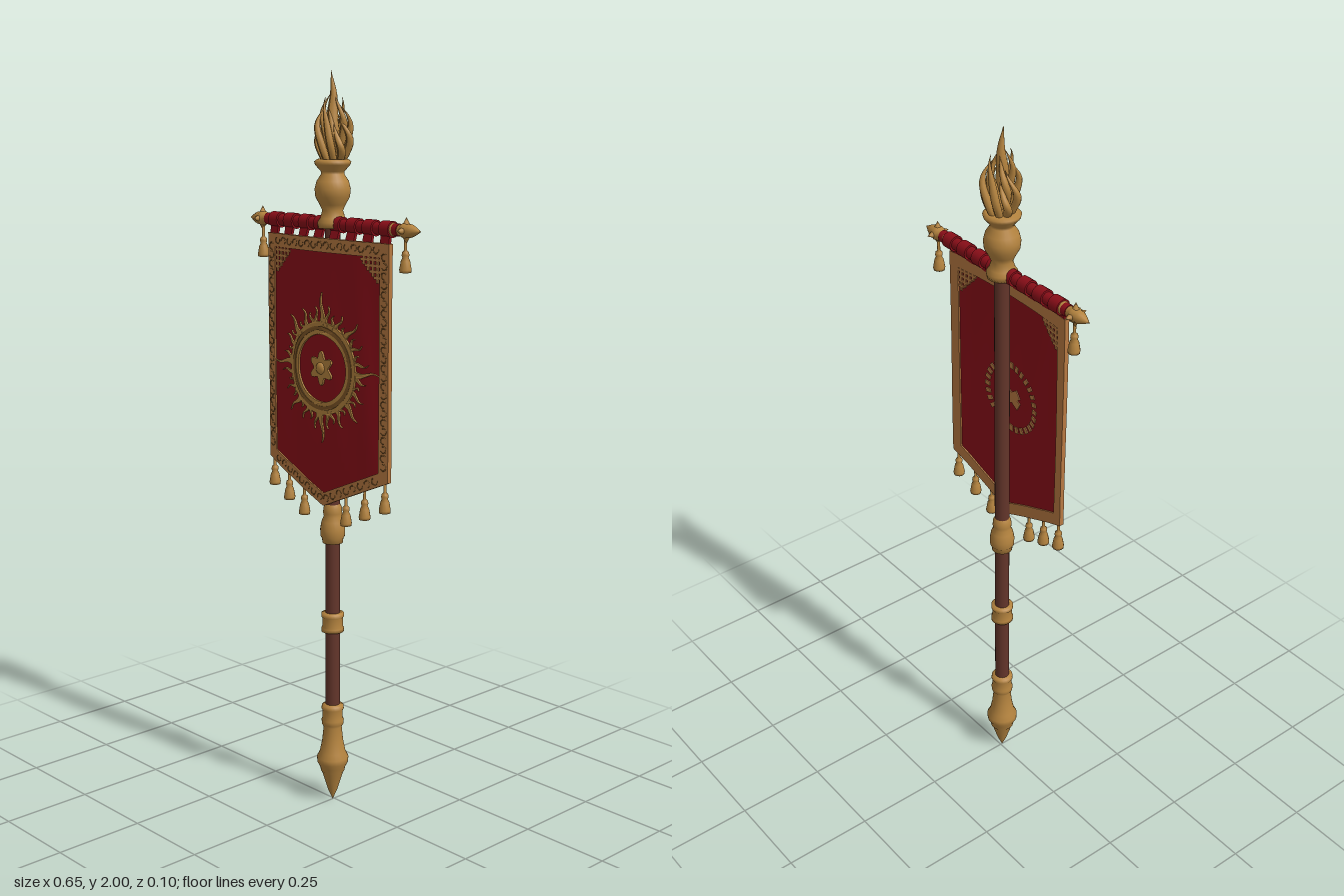
import * as THREE from 'three';
import { mergeGeometries } from 'three/addons/utils/BufferGeometryUtils.js';

const PI = Math.PI;
const POLE_Z = 0.005, BAR_Z = 0.01, BAR_Y = 1.61, TOP = 1.575, HALF = 0.23, EMBLEM_Y = 1.235;

function material(name, color, opts = {}) {
  const m = new THREE.MeshStandardMaterial({ color, ...opts });
  m.name = name;
  return m;
}

// Cloth rules: pointed lower edge, and forward bulge with soft folds
const bottomY = x => 0.86 + 0.1 * Math.abs(x) / HALF;
const drapeZ = (x, y) => {
  const sag = Math.sin(PI * Math.min(1, Math.max(0, (TOP - y) / 0.72)));
  return 0.021 + (0.013 + 0.007 * sag) * Math.cos(PI * x / (2 * HALF))
    + 0.0015 * sag * Math.sin(x * 55 + y * 5);
};

function warp(geo, rule) {
  const p = geo.attributes.position, v = new THREE.Vector3();
  for (let i = 0; i < p.count; i++) {
    v.fromBufferAttribute(p, i);
    rule(v);
    p.setXYZ(i, v.x, v.y, v.z);
  }
  geo.computeVertexNormals();
  return geo;
}
const drape = geo => warp(geo, v => { v.z += drapeZ(v.x, v.y); });

function extrude(points, depth, holes = []) {
  const s = new THREE.Shape(points);
  s.holes = holes.map(h => new THREE.Path(h));
  return new THREE.ExtrudeGeometry(s, { depth, bevelEnabled: false });
}
const circle = (r, n = 48) => Array.from({ length: n }, (_, i) =>
  new THREE.Vector2(r * Math.cos(i / n * 2 * PI), r * Math.sin(i / n * 2 * PI)));
const lathe = (pts, seg = 24) =>
  new THREE.LatheGeometry(pts.map(([r, y]) => new THREE.Vector2(r, y)), seg);

// Flame tongue: a tapered cone swept along a swirling upward path
function tongue(angle, radius, y0, h, w, swirl) {
  const g = new THREE.ConeGeometry(1, 1, 10, 14, true);
  return warp(g, v => {
    const t = v.y + 0.5, a = angle + swirl * t;
    const width = w * (0.55 + 1.5 * t) * Math.pow(1 - t, 0.15);
    const r = radius * (0.6 + 1.3 * Math.sin(PI * Math.min(1, t * 0.9)) * 0.55) * (1 - 0.25 * t);
    const wave = 0.008 * Math.sin(t * 7 + angle * 2) * t;
    v.x = Math.cos(a) * (r + wave) + v.x * width;
    v.z = Math.sin(a) * (r + wave) + v.z * width;
    v.y = y0 + h * t;
  });
}

function tassel() {
  return lathe([[0, 0], [0.015, 0.001], [0.016, 0.008], [0.012, 0.03], [0.008, 0.038], [0.01, 0.044],
    [0.009, 0.051], [0.004, 0.056], [0.004, 0.085], [0, 0.085]], 12);
}

export function createModel() {
  const gold = material('gold', 0xb5843f);
  const trim = material('copper gold trim', 0xb87a42, { side: THREE.DoubleSide });
  const bronze = material('dark bronze', 0x7d5526);
  const red = material('crimson cloth', 0x8a0e18, { side: THREE.DoubleSide });
  const wood = material('brown wood', 0x63352a);
  const root = new THREE.Group();
  root.name = 'banner';
  const add = (name, geo, mat, x = 0, y = 0, z = 0) => {
    const m = new THREE.Mesh(geo, mat);
    m.name = name;
    m.position.set(x, y, z);
    root.add(m);
    return m;
  };

  // Pole, foot spike and collars
  add('pole', new THREE.CylinderGeometry(0.02, 0.02, 1.4, 20), wood, 0, 0.92, POLE_Z);
  add('footSpike', lathe([[0, 0], [0.013, 0.03], [0.03, 0.085], [0.033, 0.088], [0.035, 0.1], [0.043, 0.115],
    [0.044, 0.13], [0.036, 0.145], [0.029, 0.18], [0.025, 0.22], [0.03, 0.228], [0.031, 0.24],
    [0.028, 0.245], [0.028, 0.268], [0.031, 0.273], [0.03, 0.283], [0.02, 0.287]]), gold, 0, 0, POLE_Z);
  const collar = [[0.02, -0.028], [0.031, -0.026], [0.031, -0.016], [0.028, -0.013], [0.028, 0.013],
    [0.031, 0.016], [0.031, 0.026], [0.02, 0.028]];
  add('middleCollar', lathe(collar), gold, 0, 0.525, POLE_Z);
  add('upperCollar', lathe([[0.02, 0.75], [0.028, 0.752], [0.029, 0.765], [0.033, 0.77], [0.034, 0.79],
    [0.03, 0.812], [0.024, 0.825], [0.026, 0.835], [0.025, 0.85], [0.02, 0.86]]), gold, 0, 0, POLE_Z);

  // Finial: vase, cup and flame
  add('finialVase', lathe([[0, 1.6], [0.038, 1.6], [0.04, 1.615], [0.033, 1.625], [0.027, 1.645], [0.034, 1.66],
    [0.045, 1.68], [0.047, 1.7], [0.042, 1.72], [0.03, 1.738], [0.031, 1.745], [0.046, 1.762],
    [0.048, 1.77], [0.04, 1.776], [0, 1.776]], 28), gold, 0, 0, POLE_Z);
  const flames = [tongue(0, 0.006, 1.77, 0.23, 0.026, 3)];
  for (let i = 0; i < 8; i++)
    flames.push(tongue(i * PI / 4, 0.036, 1.768, 0.1 + 0.022 * (i * 3 % 4), 0.016, 0.8));
  for (let i = 0; i < 5; i++)
    flames.push(tongue(i * 2 * PI / 5 + 0.3, 0.022, 1.79, 0.12 + 0.016 * (i * 2 % 3), 0.016, 1.2));
  add('flame', mergeGeometries(flames), gold, 0, 0, 0.001);

  // Crossbar with pointed ends
  add('crossbar', new THREE.CylinderGeometry(0.016, 0.016, 0.5, 16).rotateZ(PI / 2), red, 0, BAR_Y, BAR_Z);
  for (const s of [-1, 1]) {
    add('crossbarTip', lathe([[0.017, 0.212], [0.017, 0.232], [0.014, 0.236], [0.014, 0.255], [0.018, 0.262],
      [0.02, 0.272], [0.016, 0.282], [0.017, 0.288], [0.012, 0.3], [0, 0.323]], 16).rotateZ(-s * PI / 2),
      gold, 0, BAR_Y, BAR_Z);
    const studs = [];
    for (let k = 0; k < 4; k++)
      studs.push(new THREE.ConeGeometry(0.011, 0.022, 8).translate(0, 0.023, 0).rotateX(k * PI / 2));
    add('crossbarStuds', mergeGeometries(studs), gold, s * 0.272, BAR_Y, BAR_Z);
    add('crossbarTassel', tassel(), gold, s * 0.27, 1.505, BAR_Z);
  }

  // Hanging loops around the crossbar
  const loops = [];
  for (let i = 0; i < 8; i++) {
    const x = (i - 3.5) * 0.06;
    loops.push(new THREE.CylinderGeometry(0.021, 0.021, 0.034, 16).rotateZ(PI / 2).translate(x, BAR_Y, BAR_Z));
    loops.push(warp(new THREE.BoxGeometry(0.03, 0.05, 0.008, 1, 4, 1).translate(x, 1.585, 0), v => {
      v.z += THREE.MathUtils.lerp(drapeZ(v.x, TOP), 0.016, Math.min(1, (v.y - 1.56) / 0.05));
    }));
  }
  add('hangingLoops', mergeGeometries(loops), red);

  // Cloth panel
  add('cloth', drape(warp(new THREE.BoxGeometry(0.448, 1, 0.005, 40, 30, 1), v => {
    const b = bottomY(v.x) + 0.005;
    v.y = b + (v.y + 0.5) * (TOP - 0.003 - b);
  })), red);

  // Raised border
  const border = [drape(new THREE.BoxGeometry(0.46, 0.036, 0.013, 32, 2, 1).translate(0, TOP - 0.018, 0))];
  border.push(drape(warp(new THREE.BoxGeometry(0.46, 0.036, 0.013, 32, 2, 1), v => {
    v.y += bottomY(v.x) + 0.018;
  })));
  for (const s of [-1, 1])
    border.push(drape(warp(new THREE.BoxGeometry(0.031, 1, 0.013, 2, 24, 1).translate(s * 0.2145, 0, 0), v => {
      const b = bottomY(v.x);
      v.y = b + (v.y + 0.5) * (TOP - b);
    })));
  add('border', mergeGeometries(border), trim);

  // Scroll pattern along the border front
  const scrolls = [];
  const scroll = (x, y, turn) => scrolls.push(drape(new THREE.TorusGeometry(0.009, 0.0016, 4, 10, 4.6)
    .rotateZ(turn).translate(x, y, 0.0068)));
  for (const s of [-1, 1]) {
    for (let i = 0; i < 24; i++) scroll(s * 0.2145, 1.0 + i * 0.0235, i % 2 ? 0.5 : 3.6);
    for (let i = 0; i < 8; i++) {
      const x = s * (0.012 + i * 0.025);
      scroll(x, TOP - 0.018, i % 2 ? 2 : 5.2);
      scroll(x, bottomY(x) + 0.018, i % 2 ? 2 : 5.2);
    }
  }
  add('borderScrolls', mergeGeometries(scrolls), bronze);

  // Stepped fretwork in the upper corners, on both sides
  const corners = [];
  for (const s of [-1, 1]) {
    for (let i = 0; i < 4; i++) {
      const d = 0.016 + i * 0.015, w = 0.066 - i * 0.015;
      corners.push(new THREE.BoxGeometry(w, 0.007, 0.011, 3, 1, 1).translate(s * (0.2 - w / 2), 1.548 - d, 0));
      corners.push(new THREE.BoxGeometry(0.007, w, 0.011, 1, 3, 1).translate(s * (0.206 - d), 1.54 - w / 2, 0));
    }
  }
  add('cornerFretwork', drape(mergeGeometries(corners)), trim);

  // Sun emblem: ring, wavy rays and central blossom
  const at = (g, z) => drape(g.translate(0, EMBLEM_Y, z));
  add('sunRing', at(extrude(circle(0.124), 0.007, [circle(0.09)]), 0.001), gold);
  add('sunRingInset', at(extrude(circle(0.112), 0.002, [circle(0.101)]), 0.0075), bronze);
  const rays = [];
  for (let i = 0; i < 40; i++) {
    const a = i / 40 * 2 * PI;
    const len = i % 10 === 0 ? 0.2 : i % 5 === 0 ? 0.182 : [0.15, 0.168, 0.142, 0.162][i % 4];
    const w = i % 5 === 0 ? 0.009 : 0.0065;
    const left = [], right = [];
    for (let k = 0; k <= 6; k++) {
      const t = k / 6, r = 0.115 + (len - 0.115) * t;
      const bend = 0.005 * Math.sin(t * 2 * PI) * (i % 2 ? 1 : -1), half = w * (1 - t);
      left.push(new THREE.Vector2(r, bend - half));
      if (k < 6) right.unshift(new THREE.Vector2(r, bend + half));
    }
    rays.push(extrude([...left, ...right], 0.006).rotateZ(a));
  }
  add('sunRays', at(mergeGeometries(rays), 0.001), gold);
  const petals = Array.from({ length: 48 }, (_, i) => {
    const a = i / 48 * 2 * PI, r = 0.037 + 0.009 * Math.cos(6 * a + PI);
    return new THREE.Vector2(r * Math.cos(a), r * Math.sin(a));
  });
  add('blossom', at(extrude(petals, 0.007), 0.001), gold);
  add('blossomCentre', new THREE.SphereGeometry(0.016, 14, 8).scale(1, 1, 0.5), gold,
    0, EMBLEM_Y, drapeZ(0, EMBLEM_Y) + 0.008);

  // Stitched ring and knot on the back of the cloth
  const stitches = [];
  for (let i = 0; i < 28; i++)
    stitches.push(new THREE.BoxGeometry(0.018, 0.012, 0.003).translate(0.095, 0, 0).rotateZ(i / 28 * 2 * PI));
  stitches.push(new THREE.BoxGeometry(0.07, 0.026, 0.003, 4, 1, 1).rotateZ(0.5));
  stitches.push(new THREE.BoxGeometry(0.07, 0.026, 0.003, 4, 1, 1).rotateZ(-0.6));
  add('backEmblem', at(mergeGeometries(stitches), -0.0035), trim);

  // Tassels along the lower edge
  for (const s of [-1, 1])
    for (const x of [0.082, 0.148, 0.216])
      add('edgeTassel', tassel(), gold, s * x, bottomY(x) - 0.096 + 0.02, drapeZ(s * x, 0.9));

  return root;
}
